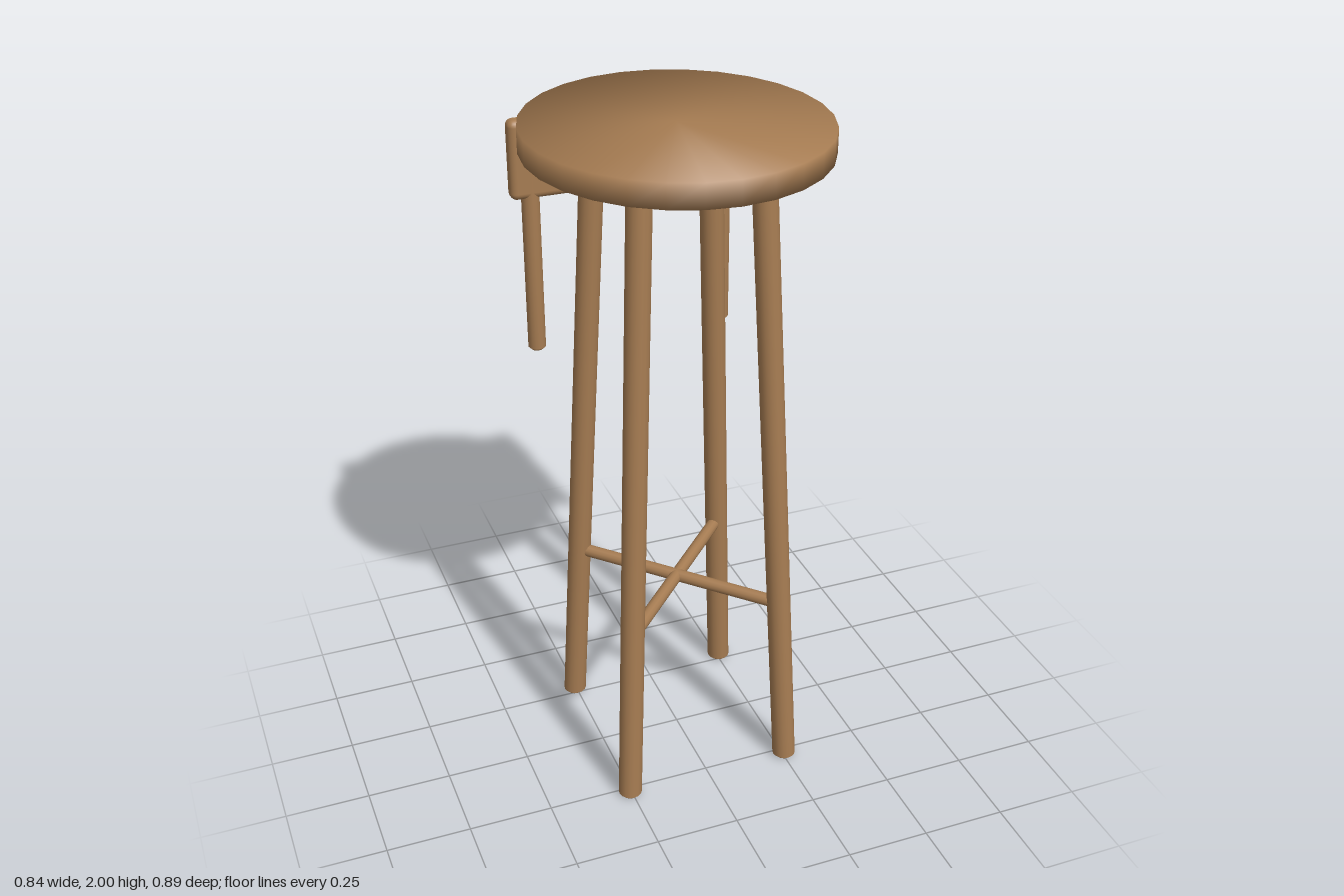
import * as THREE from 'three';
import { RoundedBoxGeometry } from 'three/addons/geometries/RoundedBoxGeometry.js';

const wood = new THREE.MeshStandardMaterial({ color: 0xa67c52 });

function add(parent, name, geometry) {
  const mesh = new THREE.Mesh(geometry, wood);
  mesh.name = name;
  parent.add(mesh);
  return mesh;
}

// Round bar standing on y = 0 with softened ends
function bar(radius, height, bevel = 0.008) {
  const profile = [
    [0, 0], [radius - bevel, 0], [radius, bevel],
    [radius, height - bevel], [radius - bevel, height], [0, height],
  ].map(([x, y]) => new THREE.Vector2(x, y));
  return new THREE.LatheGeometry(profile, 16);
}

// Oval seat whose shading rolls softly over the rim
function seatGeometry(rx, rz, thickness) {
  const geo = new THREE.CylinderGeometry(1, 1, thickness, 28);
  const pos = geo.attributes.position, normal = geo.attributes.normal;
  const n = new THREE.Vector3();
  for (let i = 0; i < pos.count; i++) {
    n.set(pos.getX(i) / rx, 0, pos.getZ(i) / rz);
    if (n.lengthSq() > 0) n.normalize();
    n.y = Math.sign(pos.getY(i));
    n.normalize();
    normal.setXYZ(i, n.x, n.y, n.z);
    pos.setXYZ(i, pos.getX(i) * rx, pos.getY(i), pos.getZ(i) * rz);
  }
  return geo;
}

export function createModel() {
  const stool = new THREE.Group();
  stool.name = 'stool';

  add(stool, 'seat', seatGeometry(0.418, 0.447, 0.07)).position.y = 1.965;

  // Four splayed legs, sheared so the feet stay level
  const legTop = 1.94, foot = { x: 0.255, z: 0.271 }, head = { x: 0.171, z: 0.184 };
  for (const sx of [-1, 1]) {
    for (const sz of [-1, 1]) {
      const kx = sx * (head.x - foot.x) / legTop;
      const kz = sz * (head.z - foot.z) / legTop;
      const geo = bar(0.035, legTop).applyMatrix4(new THREE.Matrix4().set(
        1, kx, 0, sx * foot.x,
        0, 1, 0, 0,
        0, kz, 1, sz * foot.z,
        0, 0, 0, 1,
      ));
      add(stool, (sz > 0 ? 'front' : 'back') + (sx > 0 ? 'Left' : 'Right') + 'Leg', geo);
    }
  }

  // Crossed stretchers joining opposite legs
  const railY = 0.565, t = railY / legTop;
  const rx = THREE.MathUtils.lerp(foot.x, head.x, t);
  const rz = THREE.MathUtils.lerp(foot.z, head.z, t);
  for (const s of [-1, 1]) {
    const path = new THREE.LineCurve3(
      new THREE.Vector3(-rx, railY, -s * rz), new THREE.Vector3(rx, railY, s * rz));
    add(stool, 'crossStretcher', new THREE.TubeGeometry(path, 1, 0.019, 12));
  }

  // Rear panel with two hanging posts
  const back = new THREE.Group();
  back.name = 'backrest';
  back.position.z = -0.396;
  stool.add(back);
  add(back, 'backPanel', new RoundedBoxGeometry(0.71, 0.235, 0.052, 3, 0.02)).position.y = 1.803;
  for (const s of [-1, 1]) {
    add(back, s > 0 ? 'leftPost' : 'rightPost', bar(0.0265, 0.59)).position.set(s * 0.294, 1.205, 0);
  }

  return stool;
}
